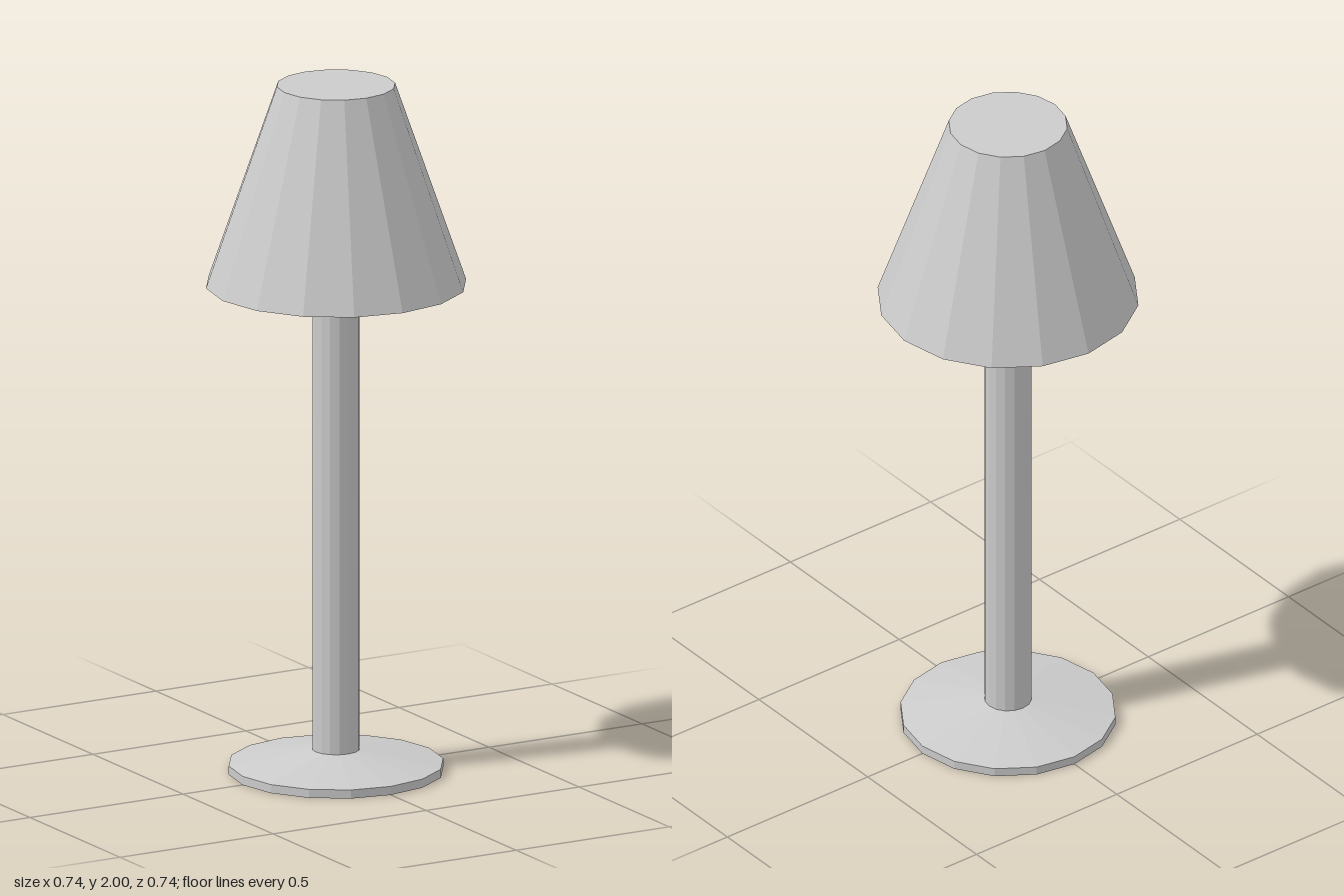
import * as THREE from 'three';

const SIDES = 16;

export function createModel() {
  const lamp = new THREE.Group();
  lamp.name = 'tableLamp';
  const material = new THREE.MeshStandardMaterial({ color: 0xcccccc, flatShading: true });

  // Faceted turned part from a list of [radius, height] pairs, underside first
  const turned = (name, profile) => {
    const points = profile.map(([r, y]) => new THREE.Vector2(r, y));
    const mesh = new THREE.Mesh(new THREE.LatheGeometry(points, SIDES), material);
    mesh.name = name;
    lamp.add(mesh);
  };

  // Disc foot with a sloping top and a slightly hollow underside
  turned('base', [[0, 0.012], [0.305, 0], [0.305, 0.025], [0.067, 0.064]]);

  // Straight pole running up into the shade
  turned('pole', [[0.067, 0.064], [0.067, 1.55]]);

  // Closed tapered shade with a recessed underside
  turned('shade', [[0, 1.55], [0.168, 1.55], [0.37, 1.42], [0.168, 2], [0, 2]]);

  return lamp;
}
